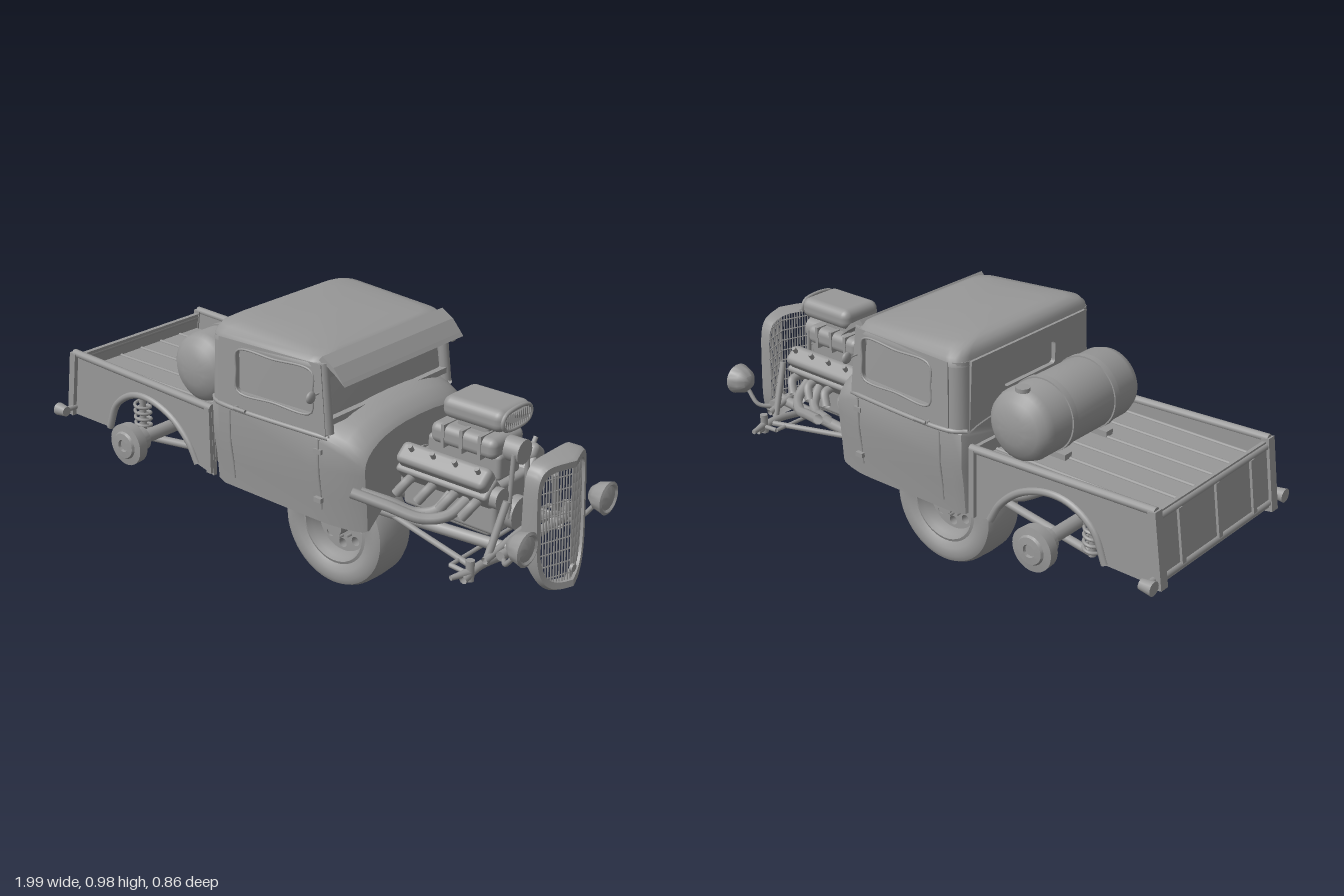
import * as THREE from 'three';
import { toCreasedNormals } from 'three/addons/utils/BufferGeometryUtils.js';
import { RoundedBoxGeometry } from 'three/addons/geometries/RoundedBoxGeometry.js';

const V = (x, y, z) => new THREE.Vector3(x, y, z);

export function createModel() {
  const model = new THREE.Group();
  model.name = 'hotRodPickup';
  const grey = new THREE.MeshStandardMaterial({ color: 0x989898, side: THREE.DoubleSide });
  grey.name = 'plainGrey';

  const add = (name, geo, x = 0, y = 0, z = 0, rx = 0, ry = 0, rz = 0) => {
    const m = new THREE.Mesh(geo, grey);
    m.name = name;
    m.position.set(x, y, z);
    m.rotation.set(rx, ry, rz);
    model.add(m);
    return m;
  };
  const box = (name, w, h, d, x, y, z, rz = 0) => add(name, new THREE.BoxGeometry(w, h, d), x, y, z, 0, 0, rz);
  const round = (name, w, h, d, r, x, y, z, rx = 0) => add(name, new RoundedBoxGeometry(w, h, d, 3, r), x, y, z, rx);
  const rod = (name, a, b, r, r2 = r, seg = 12) => {
    const m = add(name, new THREE.CylinderGeometry(r2, r, a.distanceTo(b), seg));
    m.position.copy(a).lerp(b, 0.5);
    m.quaternion.setFromUnitVectors(V(0, 1, 0), b.clone().sub(a).normalize());
    return m;
  };
  const pipe = (name, pts, r, closed = false, n = 32) =>
    add(name, new THREE.TubeGeometry(new THREE.CatmullRomCurve3(pts, closed), n, r, 8, closed));
  const both = (fn) => [1, -1].forEach(fn);
  // Lathe turned about the z axis; s mirrors it
  const lathe = (name, pts, x, y, z, s = 1, seg = 40) => add(name, toCreasedNormals(
    new THREE.LatheGeometry(pts.map((p) => new THREE.Vector2(...p)), seg), 0.6), x, y, z, s * Math.PI / 2);
  // Skin over closed rings of equal length
  const loft = (name, rings, caps = true, crease = 0.6) => {
    const n = rings[0].length, pos = [], idx = [];
    rings.forEach((r) => r.forEach((p) => pos.push(p.x, p.y, p.z)));
    for (let i = 0; i < rings.length - 1; i++) for (let j = 0; j < n; j++) {
      const a = i * n + j, b = i * n + (j + 1) % n;
      idx.push(a, b, a + n, b, b + n, a + n);
    }
    if (caps) [0, rings.length - 1].forEach((k) => {
      const c = rings[k].reduce((s, p) => s.add(p), V(0, 0, 0)).divideScalar(n);
      const ci = pos.length / 3;
      pos.push(c.x, c.y, c.z);
      for (let j = 0; j < n; j++) {
        const a = k * n + j, b = k * n + (j + 1) % n;
        if (k) idx.push(a, b, ci); else idx.push(b, a, ci);
      }
    });
    const g = new THREE.BufferGeometry();
    g.setAttribute('position', new THREE.Float32BufferAttribute(pos, 3));
    g.setIndex(idx);
    return add(name, toCreasedNormals(g, crease));
  };
  const poly = (pts) => new THREE.Shape(pts.map((p) => new THREE.Vector2(...p)));
  const roundHole = (x0, x1, y0, y1, r) => {
    const p = new THREE.Path();
    p.moveTo(x0 + r, y0).lineTo(x1 - r, y0).quadraticCurveTo(x1, y0, x1, y0 + r)
      .lineTo(x1, y1 - r).quadraticCurveTo(x1, y1, x1 - r, y1).lineTo(x0 + r, y1)
      .quadraticCurveTo(x0, y1, x0, y1 - r).lineTo(x0, y0 + r).quadraticCurveTo(x0, y0, x0 + r, y0);
    return p;
  };
  const extrude = (name, shape, depth, ...at) => add(name,
    new THREE.ExtrudeGeometry(shape, { depth, bevelEnabled: false, curveSegments: 16 }), ...at);

  // Lower cab and cowl with a recessed floor: x, half width, bottom, shoulder, top
  const cabRing = ([x, h, bot, sh, top]) => {
    const half = [[h * 0.88, 0.45], [h * 0.91, bot], [h * 0.94, bot], [h * 0.965, bot + 0.1], [h, 0.58]];
    for (let i = 0; i <= 8; i++) {
      const a = (i / 8) * Math.PI / 2;
      half.push([h * Math.pow(Math.cos(a), 0.8), sh + (top - sh) * Math.sin(a)]);
    }
    half[half.length - 1][0] = 0;
    const left = half.slice(0, -1).reverse().map(([z, y]) => V(x, y, -z));
    return [...half.map(([z, y]) => V(x, y, z)), ...left];
  };
  loft('cabBody', [[-0.237, 0.31, 0.41, 0.68, 0.72], [-0.225, 0.331, 0.4, 0.69, 0.73], [-0.19, 0.341, 0.395, 0.7, 0.73],
    [0.2, 0.331, 0.385, 0.69, 0.745], [0.26, 0.322, 0.38, 0.665, 0.757], [0.32, 0.305, 0.376, 0.64, 0.748],
    [0.37, 0.285, 0.374, 0.615, 0.725], [0.385, 0.275, 0.38, 0.6, 0.705]].map(cabRing));

  // Rounded rectangle ring lying flat, sloping down and narrowing toward the front
  const flatRing = (y, x0, x1, h, r, slope) => {
    const out = [];
    [[x1 - r, h - r], [x0 + r, h - r], [x0 + r, -h + r], [x1 - r, -h + r]].forEach(([cx, cz], q) => {
      for (let i = 0; i <= 5; i++) {
        const a = (q + i / 5) * Math.PI / 2, x = cx + r * Math.cos(a);
        out.push(V(x, y - slope * (x + 0.2), (cz + r * Math.sin(a)) * (1 - 0.13 * (x + 0.2))));
      }
    });
    return out;
  };
  loft('cabGlass', [flatRing(0.7, -0.215, 0.255, 0.325, 0.04, 0), flatRing(0.93, -0.208, 0.225, 0.318, 0.04, 0)]);
  loft('roof', [[0.915, -0.226, 0.245, 0.342, 0.05, 0], [0.945, -0.222, 0.245, 0.339, 0.055, 0.03],
    [0.966, -0.212, 0.24, 0.322, 0.06, 0.05], [0.98, -0.192, 0.21, 0.28, 0.07, 0.07],
    [0.987, -0.16, 0.15, 0.2, 0.08, 0.07], [0.99, -0.08, 0.05, 0.08, 0.05, 0.06]].map((a) => flatRing(...a)), true, 1);

  // Door window frames, pillars, belt moulding, door seams, handles and mirrors
  both((s) => {
    const side = poly([[-0.185, 0.69], [0.265, 0.69], [0.24, 0.93], [-0.18, 0.93]]);
    side.holes.push(roundHole(-0.105, 0.212, 0.757, 0.903, 0.022));
    extrude('windowFrame', side, 0.016, 0, 0, s * 0.352 - 0.008, -s * 0.03, s * 0.05);
    rod('rearPillar', V(-0.187, 0.69, s * 0.297), V(-0.181, 0.93, s * 0.293), 0.046, 0.044, 20);
    rod('windscreenPillar', V(0.258, 0.7, s * 0.305), V(0.235, 0.93, s * 0.3), 0.02, 0.018);
    pipe('windowTrim', [[-0.1, 0.762], [0.05, 0.757], [0.206, 0.762], [0.21, 0.83], [0.206, 0.898], [0.05, 0.903],
      [-0.1, 0.898], [-0.105, 0.83]].map(([x, y]) => V(x, y, s * (0.36 - 0.03 * y - 0.05 * x))), 0.004, true, 60);
    pipe('beltMoulding', [V(-0.235, 0.7, s * 0.312), V(-0.19, 0.7, s * 0.343), V(0.2, 0.695, s * 0.332), V(0.27, 0.69, s * 0.318)], 0.008);
    [-0.14, 0.235].forEach((x) => {
      const h = x < 0 ? 0.339 : 0.326;
      pipe('doorSeam', [V(x, 0.43, s * h * 0.95), V(x, 0.495, s * h * 0.967), V(x, 0.58, s * h), V(x, 0.68, s * h)], 0.004);
    });
    [0.47, 0.64].forEach((y) => box('doorHinge', 0.03, 0.016, 0.014, 0.235, y, s * 0.326));
    rod('doorHandle', V(-0.1, 0.705, s * 0.358), V(-0.05, 0.705, s * 0.358), 0.006);
    rod('handleStem', V(-0.1, 0.705, s * 0.335), V(-0.1, 0.705, s * 0.358), 0.006);
    rod('mirrorArm', V(0.235, 0.835, s * 0.315), V(0.235, 0.835, s * 0.365), 0.003);
    const m = add('mirror', new THREE.SphereGeometry(0.02, 16, 12), 0.24, 0.835, s * 0.365);
    m.scale.x = 0.5;
  });
  const back = poly([[-0.3, 0.69], [0.3, 0.69], [0.29, 0.93], [-0.29, 0.93]]);
  back.holes.push(roundHole(-0.13, 0.13, 0.79, 0.87, 0.015));
  extrude('rearCabPanel', back, 0.016, -0.234, 0, 0, 0, Math.PI / 2);
  box('windscreenSill', 0.03, 0.02, 0.6, 0.255, 0.74, 0);
  box('windscreenHeader', 0.02, 0.06, 0.61, 0.24, 0.91, 0);
  const visor = poly([[0.22, 0.935], [0.25, 0.925], [0.29, 0.9], [0.325, 0.872], [0.315, 0.885], [0.28, 0.925], [0.235, 0.952]]);
  extrude('sunVisor', visor, 0.61, 0, 0, -0.305);

  // Load bed with wheel arches and ridged planks
  both((s) => {
    const p = new THREE.Shape();
    p.moveTo(-0.982, 0.43).lineTo(-0.78, 0.43).bezierCurveTo(-0.74, 0.66, -0.42, 0.64, -0.33, 0.42)
      .lineTo(-0.25, 0.4).lineTo(-0.25, 0.645).lineTo(-0.945, 0.672);
    extrude('bedSide', p, 0.014, 0, 0, s * 0.307 - 0.007);
    rod('bedTopRail', V(-0.95, 0.674, s * 0.312), V(-0.25, 0.648, s * 0.312), 0.014);
    pipe('wheelArchLip', [[-0.78, 0.43], [-0.735, 0.53], [-0.65, 0.588], [-0.56, 0.597], [-0.45, 0.56], [-0.37, 0.49], [-0.33, 0.42]]
      .map(([x, y]) => V(x, y, s * 0.312)), 0.013);
    box('bedCornerPost', 0.028, 0.25, 0.035, -0.962, 0.553, s * 0.312, -0.15);
    box('bedFrontPost', 0.022, 0.24, 0.03, -0.262, 0.53, s * 0.312);
    rod('tailLightBracket', V(-0.965, 0.46, s * 0.31), V(-0.965, 0.46, s * 0.37), 0.01);
    rod('tailLight', V(-0.995, 0.46, s * 0.37), V(-0.95, 0.46, s * 0.37), 0.024, 0.018, 16);
  });
  box('bedFloor', 0.7, 0.012, 0.61, -0.6, 0.59, 0);
  for (let i = 0; i < 6; i++) {
    const z = -0.25 + i * 0.1;
    box('bedPlank', 0.69, 0.012, 0.082, -0.6, 0.601, z);
    rod('plankStrip', V(-0.945, 0.606, z + 0.05), V(-0.26, 0.606, z + 0.05), 0.006);
  }
  box('bedFrontWall', 0.014, 0.2, 0.61, -0.255, 0.55, 0);
  box('tailgate', 0.014, 0.225, 0.6, -0.958, 0.555, 0, -0.15);
  [0.46, 0.65].forEach((y) => rod('tailgateRail', V(-0.98 + (y - 0.43) * 0.15, y, -0.3), V(-0.98 + (y - 0.43) * 0.15, y, 0.3), 0.012));
  [-0.2, 0, 0.2].forEach((z) => box('tailgateRib', 0.014, 0.18, 0.02, -0.967, 0.555, z, -0.15));

  // Fuel tank lying across the bed
  lathe('fuelTank', [[0, -0.275], [0.05, -0.271], [0.09, -0.258], [0.113, -0.238], [0.122, -0.21], [0.122, 0.21],
    [0.113, 0.238], [0.09, 0.258], [0.05, 0.271], [0, 0.275]], -0.38, 0.735, 0);
  [-0.11, 0.11].forEach((z) => {
    lathe('tankStrap', [[0.12, -0.012], [0.127, -0.012], [0.127, 0.012], [0.12, 0.012]], -0.38, 0.735, z);
    box('tankCradle', 0.2, 0.03, 0.035, -0.38, 0.612, z);
  });
  rod('fillerNeck', V(-0.38, 0.83, -0.22), V(-0.38, 0.86, -0.22), 0.015);
  rod('fillerCap', V(-0.38, 0.852, -0.22), V(-0.38, 0.866, -0.22), 0.024);

  // Single wheel under the cab
  lathe('tyre', [[0.135, -0.07], [0.16, -0.086], [0.19, -0.09], [0.21, -0.08], [0.219, -0.06], [0.222, 0], [0.219, 0.06],
    [0.21, 0.08], [0.19, 0.09], [0.16, 0.086], [0.135, 0.07]], 0.083, 0.222, 0, 1, 56);
  lathe('rim', [[0.138, -0.072], [0.128, -0.076], [0.12, -0.055], [0.108, -0.03], [0.108, 0.03], [0.12, 0.055], [0.128, 0.076], [0.138, 0.072]], 0.083, 0.222, 0);
  const disc = new THREE.Shape().absarc(0, 0, 0.112, 0, Math.PI * 2);
  for (let i = 0; i < 8; i++) {
    const a = i * Math.PI / 4, nx = 0.083 + 0.05 * Math.cos(a), ny = 0.222 + 0.05 * Math.sin(a);
    disc.holes.push(new THREE.Path().absarc(0.08 * Math.cos(a), 0.08 * Math.sin(a), 0.017, 0, Math.PI * 2, true));
    both((s) => rod('wheelNut', V(nx, ny, s * 0.02), V(nx, ny, s * 0.05), 0.006, 0.006, 6));
  }
  extrude('wheelDisc', disc, 0.05, 0.083, 0.222, -0.025);
  rod('wheelHub', V(0.083, 0.222, -0.075), V(0.083, 0.222, 0.075), 0.034, 0.034, 20);

  // Chassis, rear axle and suspension
  both((s) => {
    pipe('frameRail', [V(-0.94, 0.52, s * 0.18), V(-0.72, 0.54, s * 0.18), V(-0.5, 0.54, s * 0.18), V(-0.3, 0.44, s * 0.18),
      V(0.3, 0.42, s * 0.17), V(0.86, 0.42, s * 0.12)], 0.02, false, 48);
    lathe('brakeDrum', [[0, -0.055], [0.042, -0.055], [0.046, -0.012], [0.073, -0.01], [0.075, 0.026], [0.05, 0.03],
      [0.045, 0.038], [0.022, 0.04], [0.02, 0.03], [0, 0.03]], -0.58, 0.452, s * 0.39, s);
    const coil = [];
    for (let i = 0; i <= 60; i++) coil.push(V(-0.68 + 0.028 * Math.cos(i * 0.628), 0.4 + i * 0.0023, s * 0.24 + 0.028 * Math.sin(i * 0.628)));
    pipe('coilSpring', coil, 0.006, false, 180);
    rod('damper', V(-0.68, 0.39, s * 0.24), V(-0.68, 0.56, s * 0.24), 0.012);
    rod('trailingArm', V(-0.68, 0.4, s * 0.24), V(-0.28, 0.43, s * 0.2), 0.014);
  });
  rod('rearAxle', V(-0.58, 0.452, -0.39), V(-0.58, 0.452, 0.39), 0.024);
  add('differential', new THREE.SphereGeometry(0.075, 24, 16), -0.58, 0.452, 0);
  rod('driveShaft', V(-0.55, 0.452, 0), V(0.2, 0.45, 0), 0.018);
  [[-0.85, 0.53], [-0.4, 0.49], [-0.1, 0.43], [0.84, 0.42]].forEach(([x, y]) => rod('crossMember', V(x, y, -0.18), V(x, y, 0.18), 0.016));

  // Front axle and steering
  pipe('frontAxle', [V(0.79, 0.37, -0.3), V(0.79, 0.385, -0.22), V(0.79, 0.36, 0), V(0.79, 0.385, 0.22), V(0.79, 0.37, 0.3)], 0.014);
  rod('tieRod', V(0.72, 0.385, -0.27), V(0.72, 0.385, 0.27), 0.007);
  both((s) => {
    rod('kingPin', V(0.79, 0.355, s * 0.265), V(0.79, 0.425, s * 0.265), 0.014);
    rod('spindle', V(0.79, 0.385, s * 0.265), V(0.77, 0.385, s * 0.335), 0.014, 0.008);
    rod('steeringArm', V(0.79, 0.38, s * 0.27), V(0.72, 0.385, s * 0.27), 0.008);
    rod('radiusArm', V(0.78, 0.38, s * 0.23), V(0.36, 0.42, s * 0.16), 0.01);
    rod('frontDamper', V(0.8, 0.39, s * 0.2), V(0.82, 0.58, s * 0.13), 0.012);
  });
  pipe('leafSpring', [V(0.81, 0.41, -0.22), V(0.82, 0.45, 0), V(0.81, 0.41, 0.22)], 0.012);

  // Engine with intake, scoop and open exhaust pipes
  round('engineBlock', 0.36, 0.17, 0.2, 0.015, 0.58, 0.51, 0);
  round('sump', 0.28, 0.07, 0.13, 0.015, 0.58, 0.43, 0);
  rod('gearbox', V(0.2, 0.46, 0), V(0.42, 0.5, 0), 0.06, 0.1, 20);
  round('intakeManifold', 0.28, 0.09, 0.12, 0.015, 0.6, 0.635, 0);
  round('blower', 0.25, 0.07, 0.17, 0.025, 0.61, 0.7, 0);
  [-1, 0, 1].forEach((i) => box('blowerRib', 0.012, 0.078, 0.175, 0.61 + i * 0.07, 0.7, 0));
  round('scoopNeck', 0.12, 0.045, 0.085, 0.01, 0.62, 0.748, 0);
  round('airScoop', 0.232, 0.074, 0.172, 0.03, 0.642, 0.797, 0);
  const mouth = [[-0.06, 0.772], [0.06, 0.772], [0.076, 0.797], [0.06, 0.822], [-0.06, 0.822], [-0.076, 0.797]];
  pipe('scoopMouth', mouth.map(([z, y]) => V(0.755, y, z)), 0.007, true, 40);
  for (let i = -6; i <= 6; i++) box('scoopMesh', 0.006, 0.048, 0.003, 0.758, 0.797, i * 0.011);
  both((s) => {
    round('cylinderHead', 0.35, 0.07, 0.08, 0.012, 0.59, 0.58, s * 0.115, s * 0.7);
    round('valveCover', 0.34, 0.06, 0.075, 0.02, 0.59, 0.625, s * 0.135, s * 0.7);
    [0, 1, 2, 3].forEach((i) => {
      const x = 0.47 + i * 0.085;
      rod('coverBolt', V(x, 0.64, s * 0.14), V(x, 0.67, s * 0.16), 0.008);
      pipe('exhaustPort', [V(x, 0.56, s * 0.14), V(x, 0.55, s * 0.175), V(x - 0.025, 0.51, s * 0.195)], 0.016);
    });
    pipe('frontExhaust', [V(0.68, 0.545, s * 0.14), V(0.66, 0.51, s * 0.21), V(0.6, 0.5, s * 0.26), V(0.5, 0.53, s * 0.31), V(0.4, 0.56, s * 0.358)], 0.018);
    pipe('rearExhaust', [V(0.62, 0.545, s * 0.14), V(0.6, 0.5, s * 0.19), V(0.55, 0.49, s * 0.225), V(0.48, 0.52, s * 0.27), V(0.4, 0.545, s * 0.315)], 0.018);
  });
  rod('crankPulley', V(0.75, 0.48, 0), V(0.79, 0.48, 0), 0.055, 0.055, 24);
  rod('blowerPulley', V(0.73, 0.69, 0), V(0.79, 0.69, 0), 0.04, 0.04, 24);
  both((s) => rod('driveBelt', V(0.775, 0.48, s * 0.052), V(0.775, 0.69, s * 0.037), 0.008));
  rod('alternator', V(0.7, 0.57, 0.11), V(0.79, 0.57, 0.11), 0.035, 0.035, 20);

  // Grille shell bowed forward with square shoulders and a rounded chin
  const power = (low) => (low ? 3.2 : 5.5);
  const span = (t, low) => Math.pow(Math.max(0, 1 - Math.pow(Math.abs(t), power(low))), 1 / power(low));
  const frontX = (y, z) => 0.922 + 0.05 * (1 - Math.abs(z) / 0.14) + 0.05 * (0.72 - y);
  const ring = (k, xf) => Array.from({ length: 64 }, (_, i) => {
    const a = (i / 64) * Math.PI * 2, e = 2 / power(Math.sin(a) < 0);
    const z = 0.14 * k * Math.sign(Math.cos(a)) * Math.pow(Math.abs(Math.cos(a)), e);
    const y = 0.508 + 0.216 * k * Math.sign(Math.sin(a)) * Math.pow(Math.abs(Math.sin(a)), e);
    return V(xf(y, z), y, z);
  });
  const backX = (y) => 0.883 + Math.max(0, 0.44 - y) * 0.5;
  loft('grilleShell', [ring(1, backX), ring(1, (y, z) => frontX(y, z) - 0.012), ring(0.97, (y, z) => frontX(y, z) + 0.002),
    ring(0.87, frontX), ring(0.87, (y, z) => Math.max(backX(y), frontX(y, z) - 0.03))], false);
  for (let i = -12; i <= 12; i++) {
    const z = i * 0.01, up = 0.195 * span(z / 0.132, false), dn = 0.195 * span(z / 0.132, true);
    rod('grilleBar', V(frontX(0.508 - dn, z) - 0.012, 0.508 - dn, z), V(frontX(0.508 + up, z) - 0.012, 0.508 + up, z), 0.0026, 0.0026, 5);
  }
  for (let i = 0; i < 9; i++) {
    const y = 0.34 + i * 0.041, w = 0.13 * span((y - 0.508) / 0.205, y < 0.508);
    both((s) => rod('grilleCrossBar', V(frontX(y, 0) - 0.015, y, 0), V(frontX(y, w) - 0.015, y, s * w), 0.0025, 0.0025, 5));
  }
  add('grilleBadge', new THREE.CylinderGeometry(0.013, 0.013, 0.01, 16), 0.987, 0.36, 0, 0, 0, Math.PI / 2);

  // Headlights on curved stalks
  both((s) => {
    const lamp = new THREE.LatheGeometry([[0, -0.06], [0.025, -0.053], [0.045, -0.03], [0.053, 0], [0.056, 0.008], [0.047, 0.012],
      [0.04, 0.006], [0.025, 0.012], [0, 0.014]].map((p) => new THREE.Vector2(...p)), 32);
    add('headlight', toCreasedNormals(lamp, 0.6), 0.957, 0.505, s * 0.226, 0, 0, -Math.PI / 2);
    pipe('headlightStalk', [V(0.92, 0.47, s * 0.22), V(0.88, 0.42, s * 0.21), V(0.84, 0.41, s * 0.16), V(0.82, 0.42, s * 0.12)], 0.008);
  });
  return model;
}
